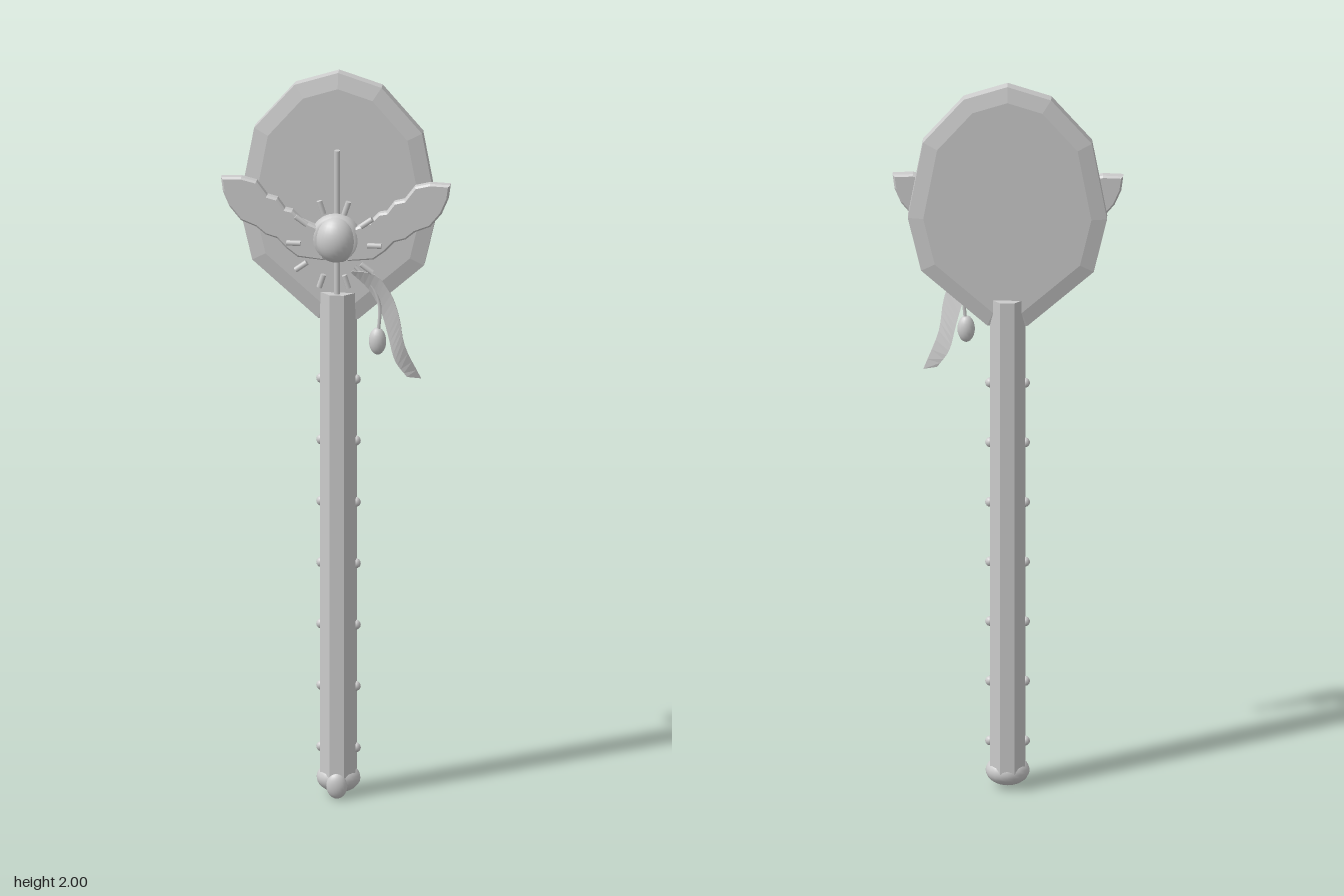
import * as THREE from 'three';

export function createModel() {
  const model = new THREE.Group();
  const grey = new THREE.MeshStandardMaterial({ color: 0xcccccc });
  grey.name = 'light grey';

  const add = (name, geometry, x = 0, y = 0, z = 0) => {
    const mesh = new THREE.Mesh(geometry, grey);
    mesh.name = name;
    mesh.position.set(x, y, z);
    model.add(mesh);
    return mesh;
  };
  const ellipsoid = (rx, ry, rz, w = 20, h = 14) =>
    new THREE.SphereGeometry(1, w, h).scale(rx, ry, rz);
  const flat = (geometry) => {
    const g = geometry.index ? geometry.toNonIndexed() : geometry;
    g.computeVertexNormals();
    return g;
  };
  const shapeOf = (points) => new THREE.Shape(points.map(([x, y]) => new THREE.Vector2(x, y)));

  // Faceted egg-shaped plate with chamfered rims
  const half = [[0.115, 1.963], [0.222, 1.84], [0.262, 1.625], [0.227, 1.475], [0.053, 1.32]];
  const outline = [[0, 2], ...half, ...half.map(([x, y]) => [-x, y]).reverse()].reverse();
  add('plate', new THREE.ExtrudeGeometry(shapeOf(outline), {
    depth: 0.03, bevelThickness: 0.009, bevelSize: 0.04, bevelOffset: -0.04, bevelSegments: 1,
  }), 0, 0, -0.052);

  // Eight-sided handle with studs on both sides
  const axisZ = -0.033;
  add('handle', flat(new THREE.CylinderGeometry(0.05, 0.05, 1.345, 8).rotateY(Math.PI / 8)),
    0, 0.7225, axisZ);
  for (let i = 0; i < 7; i++) {
    for (const side of [-1, 1]) {
      add('stud', ellipsoid(0.012, 0.013, 0.012, 10, 8), side * 0.047, 0.13 + i * 0.17, axisZ);
    }
  }

  // Pommel with a small boss on the front
  add('pommel', ellipsoid(0.058, 0.04, 0.049), 0, 0.047, axisZ);
  add('pommelBoss', ellipsoid(0.028, 0.036, 0.018), 0, 0.036, 0.007);

  // Central setting and domed gem
  const cy = 1.557;
  const profile = [[0, -0.012], [0.045, -0.009], [0.062, 0.005], [0.068, 0.02], [0.062, 0.038], [0.05, 0.046], [0, 0.046]];
  add('setting', new THREE.LatheGeometry(profile.map(([r, h]) => new THREE.Vector2(r, h)), 24)
    .rotateX(Math.PI / 2), 0, cy, 0);
  add('gem', ellipsoid(0.053, 0.063, 0.046, 24, 16), 0, cy, 0.031);

  // Ring of short rays
  for (let i = 0; i < 10; i++) {
    const a = i * Math.PI / 5;
    const ray = add('ray', new THREE.CylinderGeometry(0.0075, 0.0075, 0.037, 8),
      Math.cos(a) * 0.107, cy + Math.sin(a) * 0.107, 0.075);
    ray.rotation.z = a - Math.PI / 2;
  }

  // Upright rod behind the gem
  add('rod', new THREE.CylinderGeometry(0.008, 0.008, 0.4, 8), 0, 1.592, -0.002);

  // Mirrored wings with scalloped edges
  const wing = [
    [0.03, 1.5], [0.1, 1.507], [0.13, 1.53], [0.155, 1.557], [0.185, 1.566], [0.21, 1.587],
    [0.25, 1.603], [0.28, 1.64], [0.297, 1.68], [0.302, 1.718], [0.25, 1.72], [0.21, 1.71],
    [0.182, 1.672], [0.155, 1.665], [0.135, 1.637], [0.115, 1.633], [0.09, 1.607], [0.05, 1.59],
  ];
  for (const side of [-1, 1]) {
    const points = wing.map(([x, y]) => [side * x, y]);
    add(side > 0 ? 'leftWing' : 'rightWing', new THREE.ExtrudeGeometry(shapeOf(points), {
      depth: 0.018, bevelThickness: 0.005, bevelSize: 0.005, bevelOffset: -0.004, bevelSegments: 1,
    }), 0, 0, 0.017);
  }

  // Twisted ribbon: smooth left and right edges joined into a thin solid
  const curve = (points) => new THREE.CatmullRomCurve3(points.map((p) => new THREE.Vector3(...p)));
  const inner = curve([[0.04, 1.465, 0.028], [0.085, 1.42, 0.022], [0.117, 1.36, 0.018],
    [0.137, 1.29, 0.016], [0.155, 1.22, 0.014], [0.186, 1.176, 0.01]]);
  const outer = curve([[0.045, 1.472, 0.034], [0.105, 1.466, 0.043], [0.148, 1.415, 0.047],
    [0.17, 1.35, 0.046], [0.182, 1.27, 0.032], [0.222, 1.172, 0.005]]);
  const steps = 20, position = [], index = [];
  for (let i = 0; i <= steps; i++) {
    const a = inner.getPoint(i / steps), b = outer.getPoint(i / steps);
    for (const [p, dz] of [[a, 0.002], [b, 0.002], [b, -0.002], [a, -0.002]]) {
      position.push(p.x, p.y, p.z + dz);
    }
    if (i === steps) break;
    for (let k = 0; k < 4; k++) {
      const p = i * 4 + k, q = i * 4 + (k + 1) % 4;
      index.push(p, p + 4, q, q, p + 4, q + 4);
    }
  }
  const e = steps * 4;
  index.push(0, 1, 2, 0, 2, 3, e, e + 2, e + 1, e, e + 3, e + 2);
  const ribbon = new THREE.BufferGeometry();
  ribbon.setAttribute('position', new THREE.Float32BufferAttribute(position, 3));
  ribbon.setIndex(index);
  add('ribbon', flat(ribbon));

  // Hanging bead on a cord
  const cord = curve([[0.05, 1.48, 0.022], [0.095, 1.43, 0.026], [0.115, 1.38, 0.027], [0.112, 1.3, 0.027]]);
  add('cord', new THREE.TubeGeometry(cord, 16, 0.005, 6));
  add('bead', ellipsoid(0.023, 0.037, 0.02, 16, 12), 0.11, 1.278, 0.027);

  return model;
}
